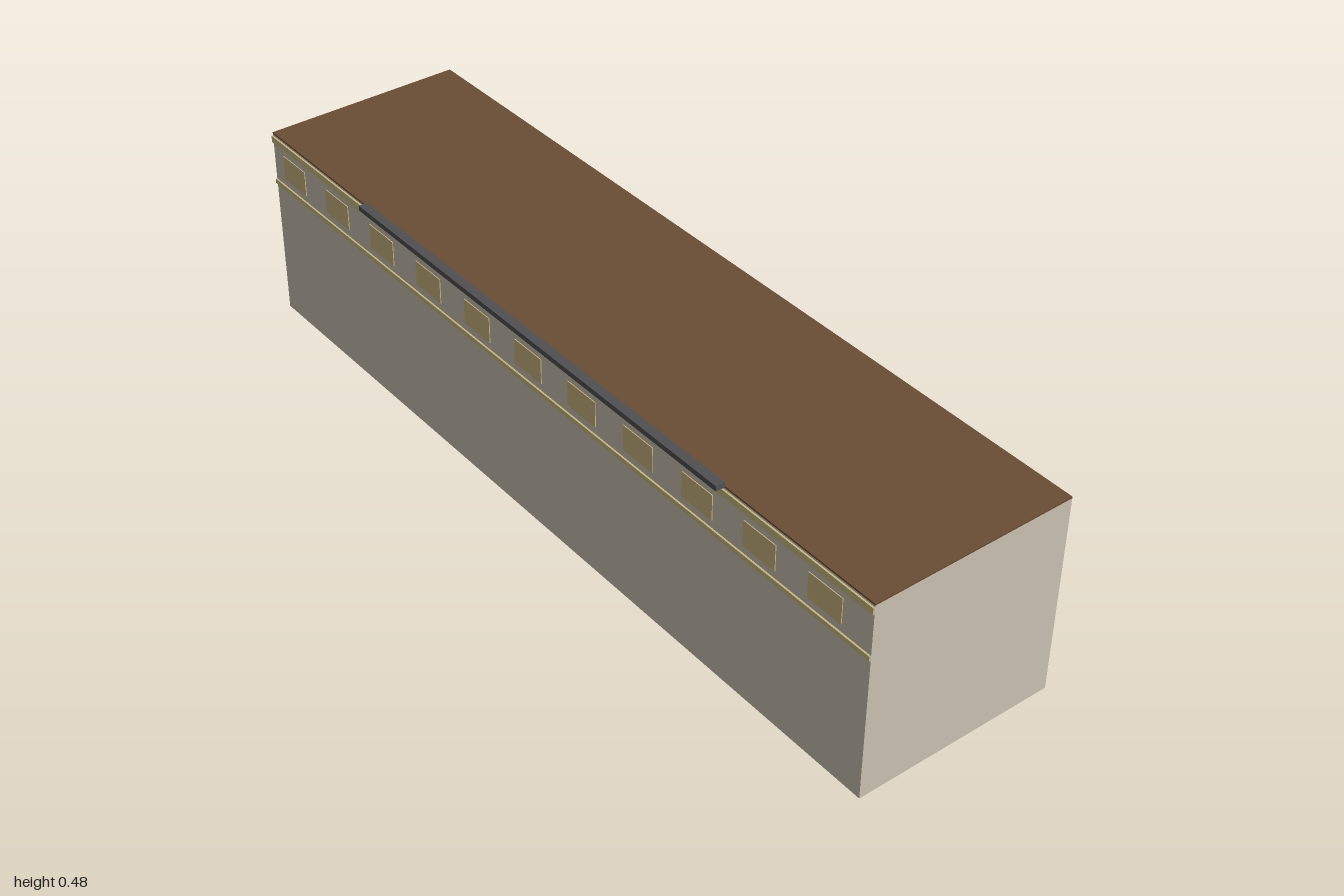
import * as THREE from 'three';

const paint = (name, color) => {
  const m = new THREE.MeshStandardMaterial({ color });
  m.name = name;
  return m;
};

export function createModel() {
  const model = new THREE.Group();
  model.name = 'longBuilding';

  const stone = paint('stone', 0xc8c0b0);
  const brown = paint('roofBrown', 0x6b4e35);
  const gold = paint('trimGold', 0xc8b882);
  const amber = paint('windowAmber', 0xc8b47c);
  const grey = paint('darkGrey', 0x505052);

  // Box given by its lower and upper corners
  const block = (name, mat, [x0, y0, z0], [x1, y1, z1], parent = model) => {
    const mesh = new THREE.Mesh(new THREE.BoxGeometry(x1 - x0, y1 - y0, z1 - z0), mat);
    mesh.position.set((x0 + x1) / 2, (y0 + y1) / 2, (z0 + z1) / 2);
    mesh.name = name;
    parent.add(mesh);
  };

  const front = 0.228;

  // Main volume and flat roof
  block('body', stone, [-1, 0, -0.25], [1, 0.467, front]);
  block('roof', brown, [-1, 0.467, -0.25], [1, 0.471, front]);

  // Trim strips above and below the windows
  block('upperTrim', gold, [-1, 0.447, front], [1, 0.463, front + 0.004]);
  block('lowerTrim', gold, [-1, 0.34, front], [1, 0.351, front + 0.004]);

  // Row of windows, set slightly towards the right
  const windows = new THREE.Group();
  windows.name = 'windows';
  for (let i = 0; i < 11; i++) {
    const x = -0.913 + i * 0.179;
    block('window', amber, [x - 0.045, 0.369, front], [x + 0.045, 0.429, front + 0.002], windows);
  }
  model.add(windows);

  // Long bar along the front roof edge
  block('roofBar', grey, [-0.6, 0.472, 0.231], [0.6, 0.484, 0.252]);

  return model;
}
